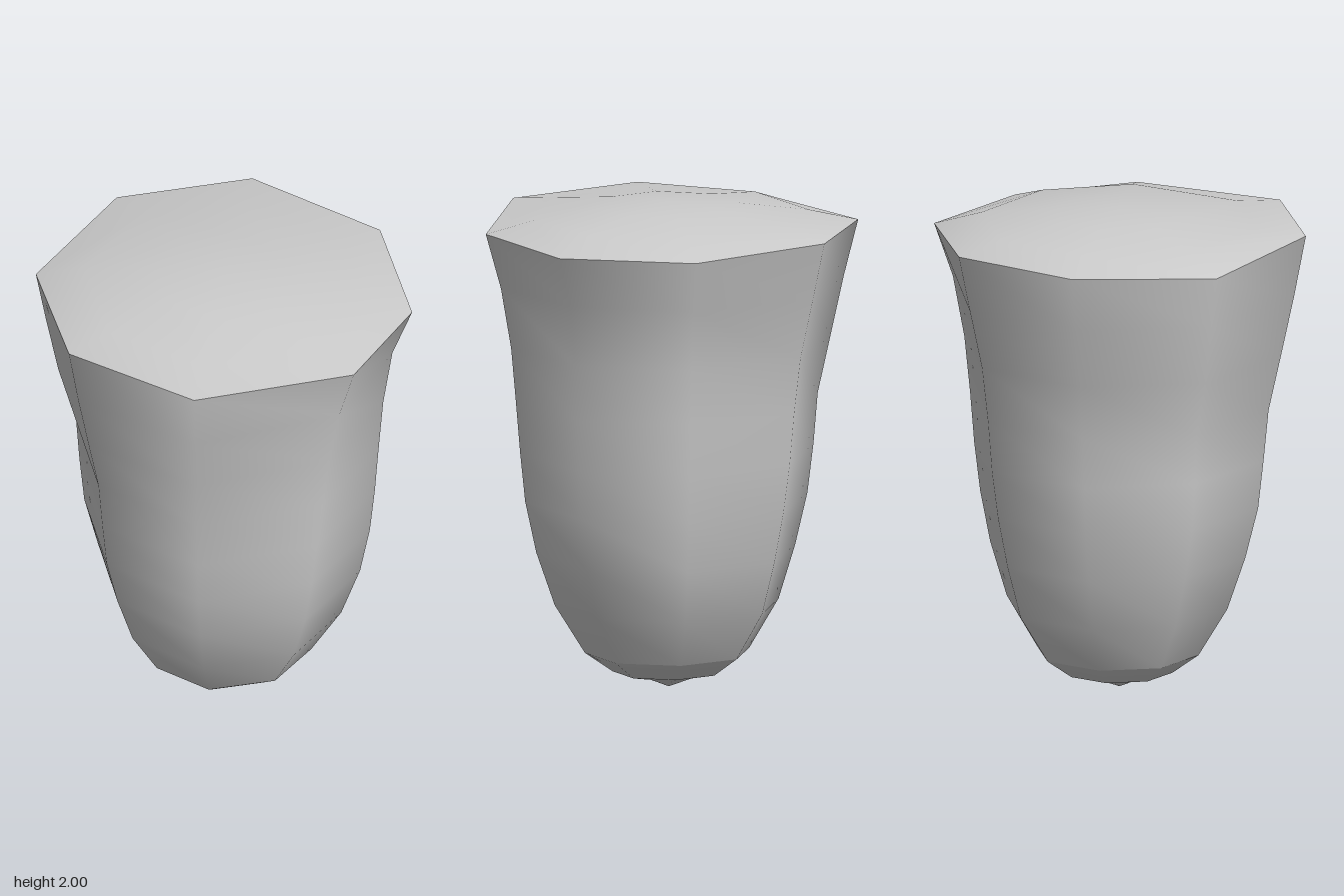
import * as THREE from 'three';
import { mergeVertices } from 'three/addons/utils/BufferGeometryUtils.js';

const SIDES = 8;
// Rim corners: angle in degrees (0 = +x, 90 = +z) and height
const ANGLES = [-2, 36.6, 88.5, 133.7, 180.7, 225.8, 268.5, 315];
const RIM_Y = [1.88, 1.9, 1.92, 1.925, 1.88, 1.9, 1.905, 1.885];

// Wall rings: height, then radius towards +x, +z, -x, -z
const WALL = [
  [1.9, 0.77, 0.767, 0.77, 0.77],
  [1.67, 0.69, 0.735, 0.73, 0.715],
  [1.42, 0.653, 0.678, 0.678, 0.655],
  [1.19, 0.635, 0.648, 0.605, 0.625],
  [0.98, 0.62, 0.622, 0.59, 0.605],
  [0.78, 0.6, 0.597, 0.57, 0.575],
  [0.57, 0.56, 0.545, 0.515, 0.53],
  [0.35, 0.483, 0.468, 0.44, 0.468],
  [0.15, 0.36, 0.34, 0.325, 0.34],
];

function wallRing([y, ...r], i) {
  return ANGLES.map((deg, j) => {
    // The rim's uneven corner spacing fades out further down
    const even = j * 45;
    const a = THREE.MathUtils.degToRad(even + (deg - even) * Math.max(0.3, 1 - i * 0.15));
    const k = Math.floor(j / 2);
    let radius = j % 2 ? (r[k] + r[(k + 1) % 4]) / 2 : r[k];
    if (i === 0) radius = 0.77;
    else if (j % 2) radius *= 0.985;
    return new THREE.Vector3(radius * Math.cos(a), i === 0 ? RIM_Y[j] : y, radius * Math.sin(a));
  });
}

// Shrinks a ring towards the axis and moves it to a height
const shrink = (ring, s, y) => ring.map((p) => new THREE.Vector3(p.x * s, y, p.z * s));

// Skins rings listed from top to bottom
function loft(name, rings) {
  const index = [];
  for (let i = 0; i < rings.length - 1; i++) {
    for (let j = 0; j < SIDES; j++) {
      const a = i * SIDES + j, b = i * SIDES + ((j + 1) % SIDES);
      index.push(a, b, a + SIDES, b, b + SIDES, a + SIDES);
    }
  }
  let geometry = new THREE.BufferGeometry().setFromPoints(rings.flat());
  geometry.setIndex(index);
  geometry = mergeVertices(geometry);
  geometry.computeVertexNormals();
  const mesh = new THREE.Mesh(geometry, new THREE.MeshStandardMaterial({ color: 0xcccccc }));
  mesh.name = name;
  return mesh;
}

export function createModel() {
  const group = new THREE.Group();
  group.name = 'taperedStump';
  const wall = WALL.map(wallRing);
  const rim = wall[0];
  const foot = wall[wall.length - 1];

  // Shallow domed lid
  group.add(loft('top', [
    shrink(rim, 0, 2),
    shrink(rim, 0.37, 1.98),
    shrink(rim, 0.74, 1.945),
    rim,
  ]));
  // Tapering eight-sided wall
  group.add(loft('wall', wall));
  // Blunt pointed underside
  group.add(loft('underside', [
    foot,
    shrink(foot, 0.67, 0.07),
    shrink(foot, 0.33, 0.045),
    shrink(foot, 0, 0),
  ]));
  return group;
}
